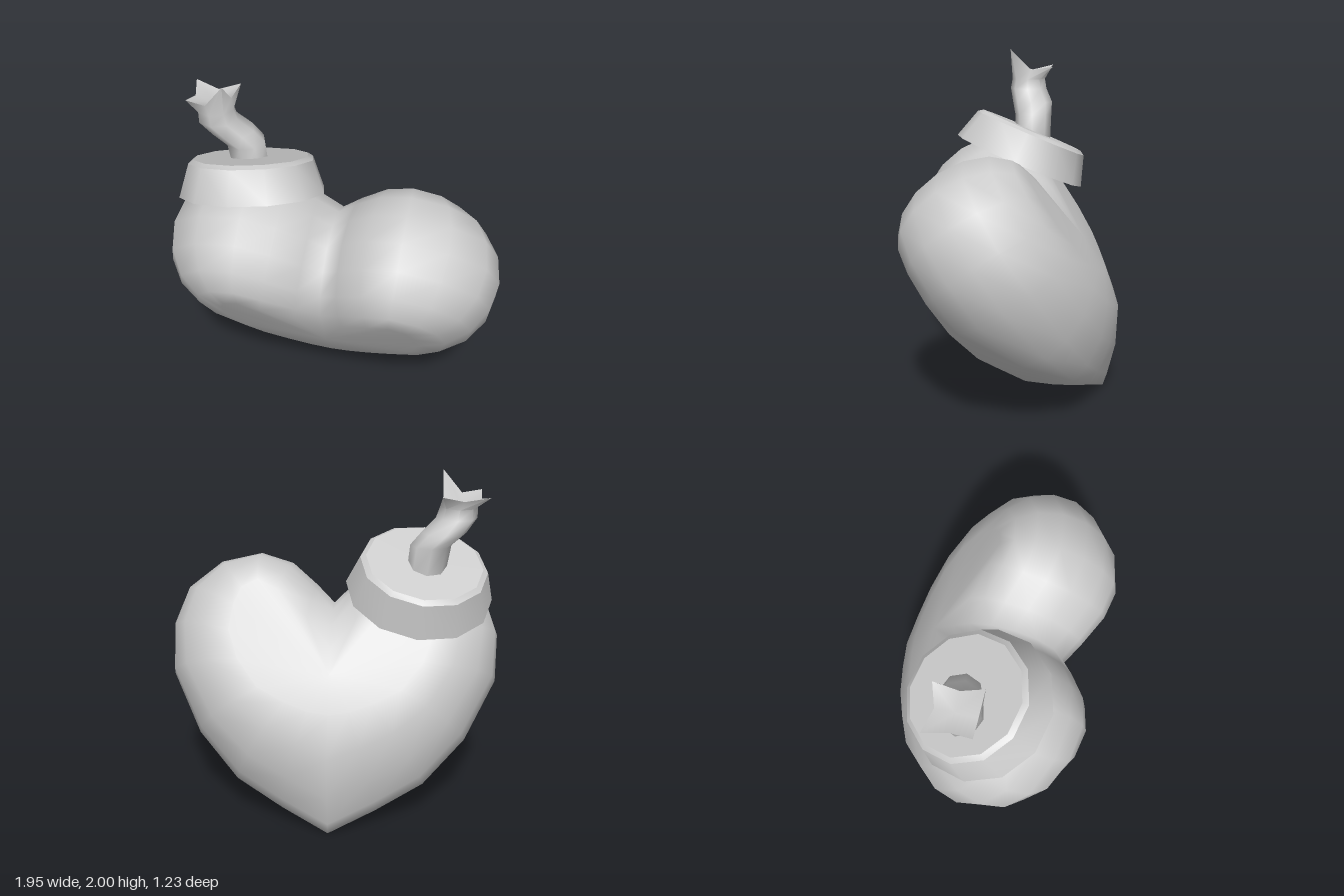
import * as THREE from 'three';
import { toCreasedNormals } from 'three/addons/utils/BufferGeometryUtils.js';

const material = new THREE.MeshStandardMaterial({ color: 0xcccccc });

// Skin closed loops of equal length; each end closes onto a single point.
// Loops run counter-clockwise seen from the end side.
function loft(start, rings, end) {
  const n = rings[0].length;
  const points = [start, ...rings.flat(), end];
  const last = points.length - 1;
  const index = [];
  for (let j = 0; j < n; j++) {
    const k = (j + 1) % n;
    index.push(0, 1 + k, 1 + j);
    for (let i = 0; i < rings.length - 1; i++) {
      const a = 1 + i * n, b = a + n;
      index.push(a + j, a + k, b + k, a + j, b + k, b + j);
    }
    index.push(last, last - n + j, last - n + k);
  }
  const geometry = new THREE.BufferGeometry();
  geometry.setAttribute('position', new THREE.Float32BufferAttribute(points.flat(), 3));
  geometry.setIndex(index);
  geometry.computeVertexNormals();
  return geometry;
}

function addMesh(parent, name, geometry) {
  const mesh = new THREE.Mesh(geometry, material);
  mesh.name = name;
  parent.add(mesh);
  return mesh;
}

// Half outline from tip to cleft: outline x, y, inner x, y, half thickness, edge sharpness
const HALF = [
  [0, 0, 0, 0.62, 0.415, 2],
  [0.27, 0.14, 0.12, 0.64, 0.415, 1.7],
  [0.54, 0.3, 0.25, 0.69, 0.415, 1.4],
  [0.78, 0.565, 0.4, 0.77, 0.415, 1.15],
  [0.96, 0.92, 0.52, 0.93, 0.415, 1],
  [0.975, 1.2, 0.58, 1.1, 0.41, 1],
  [0.9, 1.43, 0.56, 1.25, 0.41, 1],
  [0.7, 1.6, 0.52, 1.35, 0.41, 1],
  [0.45, 1.66, 0.43, 1.4, 0.41, 1],
  [0.25, 1.6, 0.31, 1.34, 0.41, 1],
  [0.1, 1.47, 0.14, 1.18, 0.39, 1],
  [0, 1.37, 0, 1.02, 0.37, 1],
];

function heartGeometry() {
  const mirrored = HALF.slice(1, -1).reverse().map(([x, y, qx, ...rest]) => [-x, y, -qx, ...rest]);
  const outline = [...HALF, ...mirrored];
  const rings = [];
  for (let i = 0; i <= 8; i++) {
    const angle = (i / 8 - 0.5) * Math.PI;
    const c = Math.cos(angle), s = Math.sin(angle);
    rings.push(outline.map(([x, y, qx, qy, t, e]) => [
      qx + (x - qx) * c,
      qy + (y - qy) * c,
      t * Math.sign(s) * Math.abs(s) ** e,
    ]));
  }
  return loft([0, 0.85, -0.41], rings, [0, 0.85, 0.41]);
}

function fuseGeometry() {
  // Bent stem: centre x, y, z and radius
  const stem = [
    [-0.53, 1.45, -0.07, 0.11],
    [-0.55, 1.6, -0.07, 0.115],
    [-0.62, 1.67, -0.06, 0.125],
    [-0.69, 1.75, -0.03, 0.115],
    [-0.7, 1.81, -0.03, 0.105],
  ];
  const rings = stem.map(([x, y, z, r]) => Array.from({ length: 8 }, (_, j) => {
    const a = j * Math.PI / 4;
    return [x + r * Math.cos(a), y, z - r * Math.sin(a)];
  }));
  // Flared rim: valleys alternate with four spikes
  rings.push([
    [-0.61, 1.87, -0.05], [-0.6, 1.89, -0.19],
    [-0.72, 1.86, -0.15], [-0.86, 1.89, -0.18],
    [-0.82, 1.86, -0.05], [-0.83, 1.89, 0.07],
    [-0.72, 1.87, 0.07], [-0.61, 2.0, 0.08],
  ]);
  return toCreasedNormals(loft([-0.53, 1.45, -0.07], rings, [-0.71, 1.83, -0.05]), 1.3);
}

export function createModel() {
  const model = new THREE.Group();
  model.name = 'heartBomb';

  // Plump heart leaning forward from its tip
  const heart = addMesh(model, 'heart', heartGeometry());
  heart.position.set(0, 0.003, -0.54);
  heart.rotation.x = 0.59;

  // Tapered collar with a small bevel, seated on the right lobe
  const profile = [[0, 0], [0.427, 0], [0.365, 0.19], [0.335, 0.21], [0, 0.21]]
    .map(([r, y]) => new THREE.Vector2(r, y));
  const collar = addMesh(model, 'collar',
    toCreasedNormals(new THREE.LatheGeometry(profile, 12), 0.55));
  collar.position.set(-0.495, 1.305, 0.015);
  collar.quaternion.setFromUnitVectors(
    new THREE.Vector3(0, 1, 0), new THREE.Vector3(-0.12, 0.92, -0.38).normalize());

  // Fuse with a flared, spiked end
  addMesh(model, 'fuse', fuseGeometry());

  return model;
}
